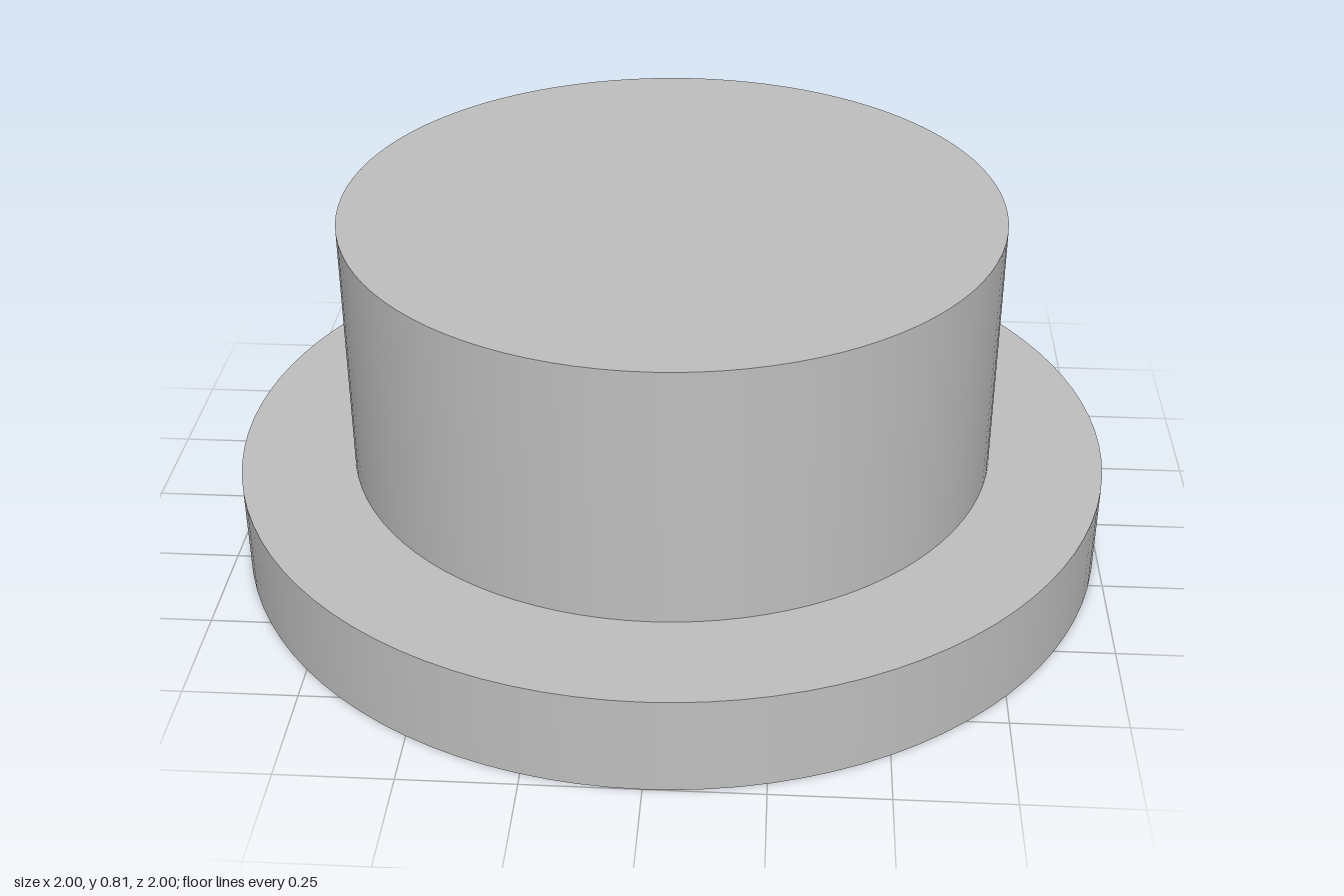
import * as THREE from 'three';

const SEG = 96;
const FLANGE_R = 1, FLANGE_H = 0.222;
const BOSS_R = 0.741, TOP = 0.815;
const HALF = 0.328, DEPTH = 0.148; // square socket in the underside

export function createModel() {
  const model = new THREE.Group();
  const grey = new THREE.MeshStandardMaterial({ color: 0xbfbfbf });
  grey.name = 'plain grey';

  const add = (name, geometry, parent = model) => {
    const mesh = new THREE.Mesh(geometry, grey);
    mesh.name = name;
    parent.add(mesh);
    return mesh;
  };

  // Wide flange: curved rim and flat shoulder around the boss
  add('flangeRim', new THREE.CylinderGeometry(FLANGE_R, FLANGE_R, FLANGE_H, SEG, 1, true)
    .translate(0, FLANGE_H / 2, 0));
  add('flangeShoulder', new THREE.RingGeometry(BOSS_R, FLANGE_R, SEG)
    .rotateX(-Math.PI / 2).translate(0, FLANGE_H, 0));

  // Round boss: curved wall and flat top
  add('bossWall', new THREE.CylinderGeometry(BOSS_R, BOSS_R, TOP - FLANGE_H, SEG, 1, true)
    .translate(0, (TOP + FLANGE_H) / 2, 0));
  add('bossTop', new THREE.CircleGeometry(BOSS_R, SEG)
    .rotateX(-Math.PI / 2).translate(0, TOP, 0));

  // Underside disc with a square opening
  const disc = new THREE.Shape().absarc(0, 0, FLANGE_R, 0, Math.PI * 2);
  disc.holes.push(new THREE.Path([
    new THREE.Vector2(-HALF, -HALF), new THREE.Vector2(-HALF, HALF),
    new THREE.Vector2(HALF, HALF), new THREE.Vector2(HALF, -HALF),
    new THREE.Vector2(-HALF, -HALF),
  ]));
  add('underside', new THREE.ShapeGeometry(disc, SEG / 2).rotateX(Math.PI / 2));

  // Blind square socket: four inward-facing walls and a ceiling
  const socket = new THREE.Group();
  socket.name = 'socket';
  model.add(socket);
  for (let i = 0; i < 4; i++) {
    add('socketWall', new THREE.PlaneGeometry(HALF * 2, DEPTH)
      .translate(0, DEPTH / 2, -HALF).rotateY(i * Math.PI / 2), socket);
  }
  add('socketCeiling', new THREE.PlaneGeometry(HALF * 2, HALF * 2)
    .rotateX(Math.PI / 2).translate(0, DEPTH, 0), socket);

  return model;
}
